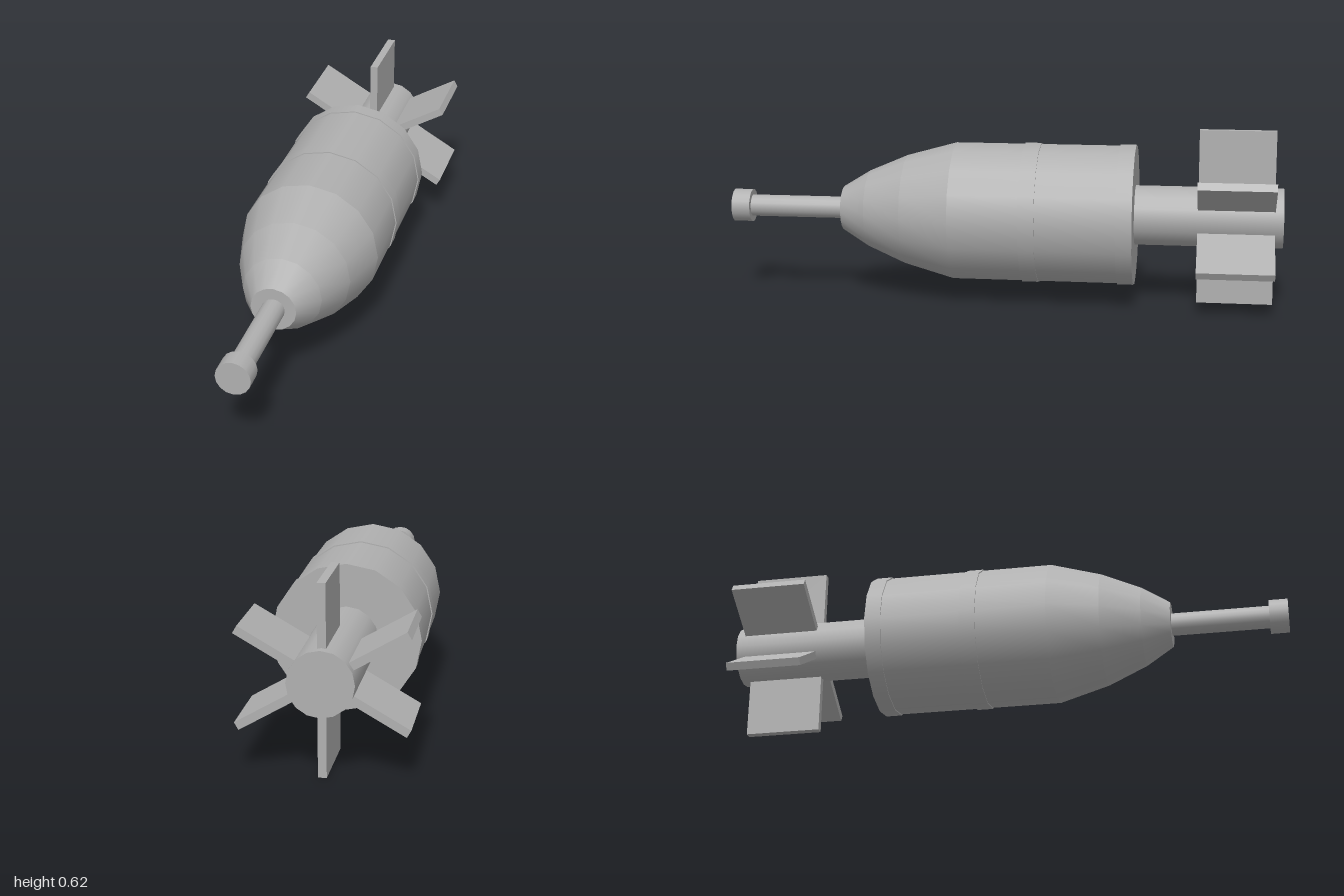
import * as THREE from 'three';

const AXIS_Y = 0.3125;
const SIDES = 16;

export function createModel() {
  const model = new THREE.Group();
  model.name = 'finnedShell';
  const grey = new THREE.MeshStandardMaterial({ color: 0xb0b0b0 });
  grey.name = 'plainGrey';

  // Everything hangs on one axis running along z
  const shell = new THREE.Group();
  shell.name = 'shell';
  shell.position.y = AXIS_Y;
  model.add(shell);

  // Round section between two z stations; closed at both ends unless open
  function section(name, zBack, rBack, zFront, rFront, open = false) {
    const geo = new THREE.CylinderGeometry(rFront, rBack, zFront - zBack, SIDES, 1, open);
    geo.rotateX(Math.PI / 2);
    geo.translate(0, 0, (zBack + zFront) / 2);
    const mesh = new THREE.Mesh(geo, grey);
    mesh.name = name;
    shell.add(mesh);
  }

  // Main body and the two slightly raised bands
  section('body', -0.474, 0.25, 0.17, 0.25);
  section('rearBand', -0.477, 0.254, -0.42, 0.254);
  section('middleBand', -0.137, 0.254, -0.08, 0.254);

  // Tapered nose in three tiers
  section('noseRear', 0.17, 0.25, 0.35, 0.2, true);
  section('noseMiddle', 0.35, 0.2, 0.49, 0.14, true);
  section('noseFront', 0.49, 0.14, 0.588, 0.08);

  // Fuse rod with its end knob
  section('fuseRod', 0.58, 0.04, 0.94, 0.04);
  section('fuseKnob', 0.933, 0.06, 1, 0.06);

  // Tail tube
  section('tailTube', -1, 0.108, -0.47, 0.108);

  // Six radial fins
  const rIn = 0.09, rOut = 0.3125;
  const finGeo = new THREE.BoxGeometry(0.028, rOut - rIn, 0.27);
  finGeo.translate(0, (rIn + rOut) / 2, -0.835);
  for (let i = 0; i < 6; i++) {
    const fin = new THREE.Mesh(finGeo, grey);
    fin.name = `tailFin${i + 1}`;
    fin.rotation.z = (i * Math.PI) / 3;
    shell.add(fin);
  }

  return model;
}
